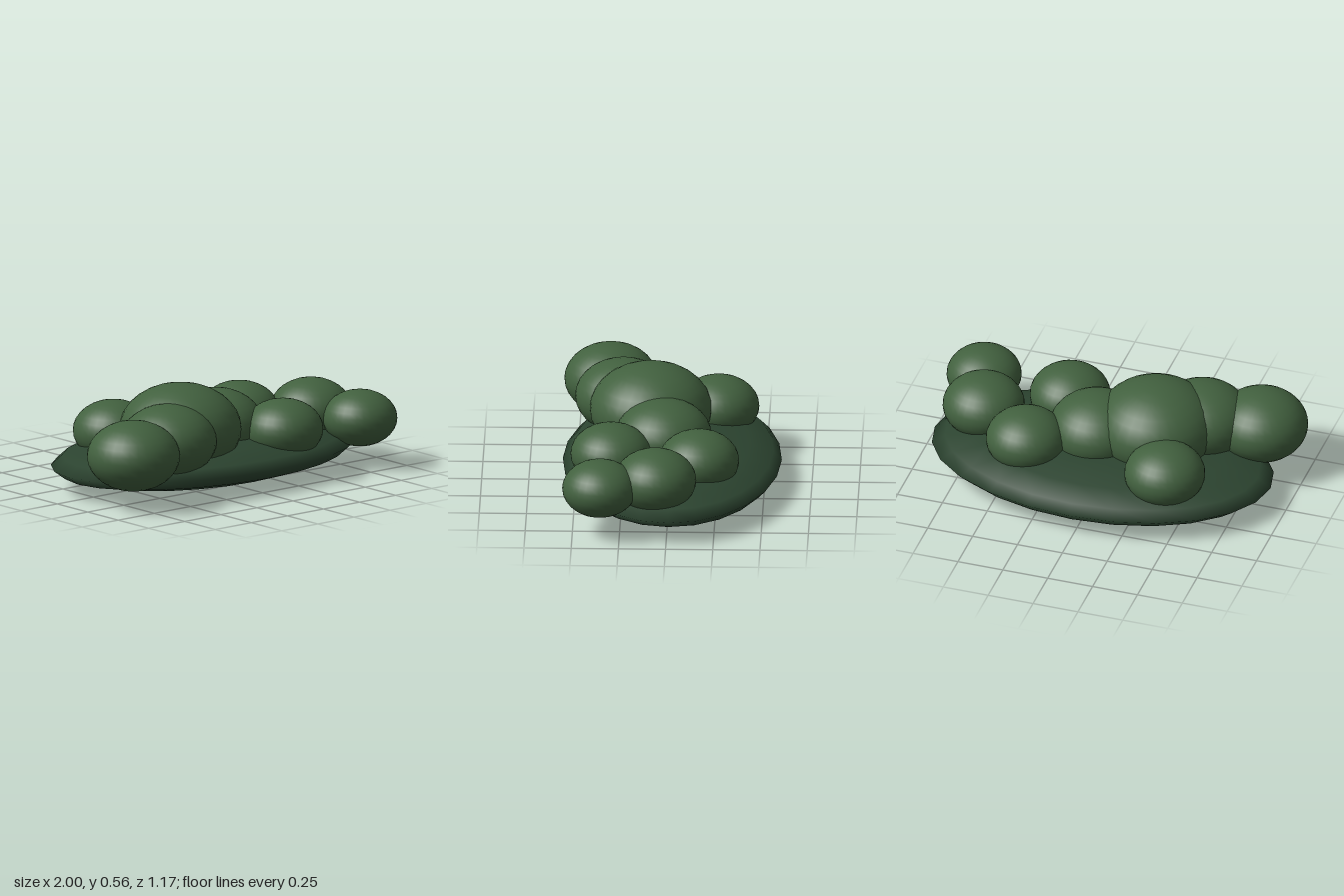
import * as THREE from 'three';

const leafMaterial = new THREE.MeshStandardMaterial({ color: 0x42613f });
const baseMaterial = new THREE.MeshStandardMaterial({ color: 0x2c4430 });

// Squashed sphere: centre and radii
function ellipsoid(name, [x, y, z], [rx, ry, rz], material, widthSegments, heightSegments) {
  const geometry = new THREE.SphereGeometry(1, widthSegments, heightSegments);
  geometry.scale(rx, ry, rz);
  const mesh = new THREE.Mesh(geometry, material);
  mesh.name = name;
  mesh.position.set(x, y, z);
  return mesh;
}

export function createModel() {
  const model = new THREE.Group();
  model.name = 'shrubPatch';

  // Flat, dark undergrowth
  model.add(ellipsoid('undergrowth', [0.017, 0.13, -0.01], [0.935, 0.13, 0.58], baseMaterial, 24, 8));

  // Rounded bushes: x, y, z, horizontal radius, vertical radius
  const bushes = [
    [-0.755, 0.285, 0.335, 0.247, 0.187],
    [-0.45, 0.308, 0.26, 0.257, 0.194],
    [-0.24, 0.318, 0.11, 0.324, 0.242],
    [0.065, 0.285, 0.035, 0.255, 0.191],
    [0.303, 0.27, 0.308, 0.214, 0.161],
    [0.395, 0.271, -0.16, 0.214, 0.161],
    [0.704, 0.278, 0.063, 0.218, 0.165],
    [0.797, 0.265, 0.354, 0.199, 0.15],
    [-0.405, 0.271, -0.245, 0.215, 0.162],
  ];
  const foliage = new THREE.Group();
  foliage.name = 'foliage';
  bushes.forEach(([x, y, z, r, h], i) =>
    foliage.add(ellipsoid(`bush${i + 1}`, [x, y, z], [r, h, r], leafMaterial, 32, 16)));
  model.add(foliage);

  return model;
}
